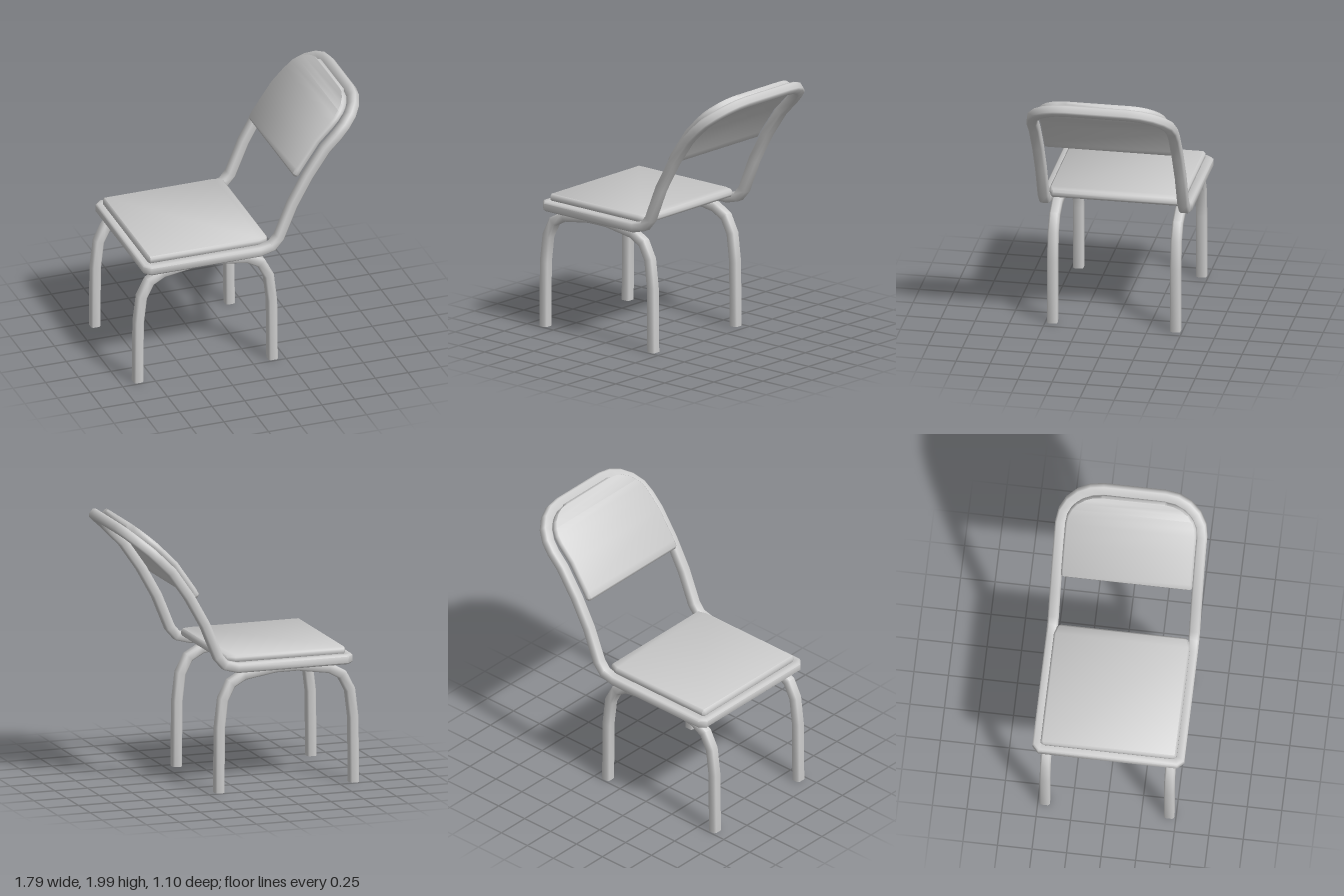
import * as THREE from 'three';
import { toCreasedNormals } from 'three/addons/utils/BufferGeometryUtils.js';

const grey = new THREE.MeshStandardMaterial({ color: 0xcccccc });
grey.name = 'light grey';

// Skin a list of equal rings; closed joins last to first, otherwise the ends are capped
function loft(rings, closed, name) {
  const n = rings[0].length, m = rings.length, pts = rings.flat(), idx = [];
  for (let i = 0; i < (closed ? m : m - 1); i++) {
    for (let j = 0; j < n; j++) {
      const a = i * n + j, b = i * n + (j + 1) % n;
      const c = ((i + 1) % m) * n + j, d = ((i + 1) % m) * n + (j + 1) % n;
      idx.push(a, b, c, b, d, c);
    }
  }
  if (!closed) {
    const e = (m - 1) * n;
    for (let j = 1; j < n - 1; j++) idx.push(0, j + 1, j, e, e + j, e + j + 1);
  }
  // Turn the faces outward if the enclosed volume is negative
  let volume = 0;
  const cross = new THREE.Vector3();
  for (let i = 0; i < idx.length; i += 3) {
    volume += pts[idx[i]].dot(cross.crossVectors(pts[idx[i + 1]], pts[idx[i + 2]]));
  }
  if (volume < 0) idx.reverse();
  const geo = new THREE.BufferGeometry().setFromPoints(pts);
  geo.setIndex(idx);
  const mesh = new THREE.Mesh(toCreasedNormals(geo, 0.9), grey);
  mesh.name = name;
  return mesh;
}

// Bevelled rectangle as [across, off] pairs
function section(w, lo, hi, b) {
  return [[-w, lo + b], [-w + b, lo], [w - b, lo], [w, lo + b],
    [w, hi - b], [w - b, hi], [-w + b, hi], [-w, hi - b]];
}

// Bar along a flat 2D path with mitred joints, placed in space by map(p, q, off)
function bar(path, closed, width, thick, map, name) {
  const n = path.length, sec = section(width / 2, -thick / 2, thick / 2, 0.012);
  const dir = (a, b) => new THREE.Vector2(b[0] - a[0], b[1] - a[1]).normalize();
  const rings = path.map((p, i) => {
    let d0 = closed || i > 0 ? dir(path[(i + n - 1) % n], p) : null;
    let d1 = closed || i < n - 1 ? dir(p, path[(i + 1) % n]) : d0;
    d0 = d0 || d1;
    const t = d0.clone().add(d1).normalize(), k = 1 / t.dot(d0);
    return sec.map(([a, o]) => map(p[0] - t.y * a * k, p[1] + t.x * a * k, o));
  });
  return loft(rings, closed, name);
}

// Bent sheet that the frame and back pad lie on, measured by arc length s
const profile = [[-0.845, 0.925], [0.04, 0.925], [0.135, 0.95], [0.19, 1.015], [0.29, 1.26],
  [0.41, 1.475], [0.545, 1.67], [0.7, 1.825], [0.87, 1.972]].map(p => new THREE.Vector2(...p));
const len = [0];
for (let i = 1; i < profile.length; i++) len.push(len[i - 1] + profile[i].distanceTo(profile[i - 1]));
const end = len[len.length - 1];
const normals = profile.map((p, i) => {
  const t = new THREE.Vector2();
  if (i > 0) t.add(p.clone().sub(profile[i - 1]).normalize());
  if (i < profile.length - 1) t.add(profile[i + 1].clone().sub(p).normalize());
  t.normalize();
  return new THREE.Vector2(-t.y, t.x);
});
function sheet(s, z, off) {
  let i = 0;
  while (i < len.length - 2 && s > len[i + 1]) i++;
  const f = (s - len[i]) / (len[i + 1] - len[i]);
  const p = profile[i].clone().lerp(profile[i + 1], f);
  const n = normals[i].clone().lerp(normals[i + 1], f).normalize();
  return new THREE.Vector3(p.x + n.x * off, p.y + n.y * off, z);
}

// Cushion built from rows [s, half width], with softened end rows
function pad(rows, lo, hi, map, name) {
  const b = 0.015, last = rows.length - 1;
  const rings = rows.map(([s, w], i) => {
    const inset = i === 0 || i === last ? b : 0;
    return section(w - inset, lo + inset, hi - inset, inset ? 0.005 : b)
      .map(([z, o]) => map(s, z, o));
  });
  return loft(rings, false, name);
}

export function createModel() {
  const chair = new THREE.Group();
  chair.name = 'chair';

  // Closed seat and back frame: one side, then its mirror
  const zc = 0.511, h = 0.039;
  const side = [[h, zc - 0.024], [h + 0.024, zc]];
  for (let i = 1; i <= 6; i++) side.push([len[i], zc]);
  for (let k = 0; k <= 5; k++) {
    const a = k / 5 * Math.PI / 2;
    side.push([end - h - 0.28 + 0.28 * Math.sin(a), zc - 0.29 + 0.29 * Math.cos(a)]);
  }
  const loop = [...side, ...side.map(([s, z]) => [s, -z]).reverse()];
  chair.add(bar(loop, true, 2 * h, 0.07, sheet, 'frame'));

  // Seat pad, slightly narrowed at the rear corners
  const flat = (x, z, y) => new THREE.Vector3(x, y, z);
  const seatRows = [[-0.8, 0.485], [-0.785, 0.493], [0.045, 0.493], [0.105, 0.475], [0.12, 0.47]];
  chair.add(pad(seatRows, 0.952, 1.01, flat, 'seatPad'));

  // Curved back pad with rounded top corners
  const s0 = len[5] - 0.06, s1 = end - 0.065, r = 0.23, w = 0.475;
  const backRows = [[s0, w], [s0 + 0.015, w], [len[5], w], [len[6], w]];
  for (let k = 0; k <= 6; k++) {
    const a = k / 6 * Math.PI / 2;
    backRows.push([s1 - r + (r - 0.012) * Math.sin(a), w - r + r * Math.cos(a)]);
  }
  backRows.push([s1, w - r]);
  chair.add(pad(backRows, 0.03, 0.085, sheet, 'backPad'));

  // Two arched leg pairs, symmetric about x = mid
  const mid = -0.355;
  const half = [[0.515, 0], [0.51, 0.48], [0.485, 0.685], [0.425, 0.8], [0.325, 0.855], [0.085, 0.892]];
  const arch = [...half.map(([x, y]) => [mid - x, y]), ...half.map(([x, y]) => [mid + x, y]).reverse()];
  for (const [z, name] of [[0.45, 'leftLegs'], [-0.45, 'rightLegs']]) {
    chair.add(bar(arch, false, 0.07, 0.075, (x, y, o) => new THREE.Vector3(x, y, z + o), name));
  }
  return chair;
}
